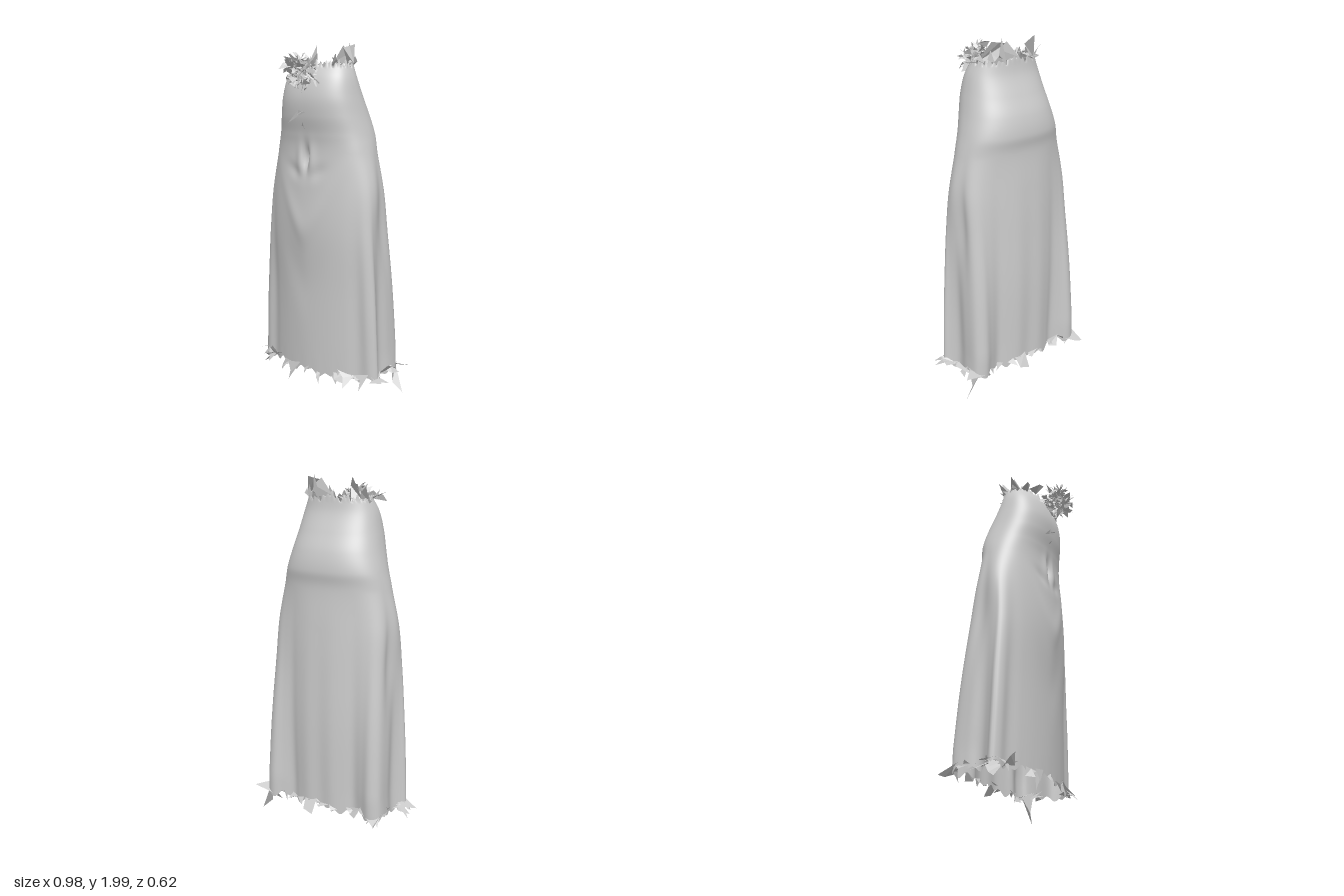
import * as THREE from 'three';

const V = (x, y, z) => new THREE.Vector3(x, y, z);
const smooth = THREE.MathUtils.smoothstep;
const bell = (x, s) => Math.exp(-(x * x) / (2 * s * s));

// Small seeded generator, values in -1..1
let seed = 7;
const rnd = () => {
  seed = (seed * 16807) % 2147483647;
  return (seed / 2147483647) * 2 - 1;
};

// Skirt silhouette from waist to hem: height, half width, back z, front z
const ROWS = [
  [1.88, 0.182, -0.11, 0.105], [1.8, 0.215, -0.125, 0.15], [1.7, 0.24, -0.165, 0.176],
  [1.6, 0.264, -0.205, 0.173], [1.5, 0.292, -0.222, 0.154], [1.4, 0.32, -0.213, 0.147],
  [1.2, 0.368, -0.225, 0.163], [0.95, 0.383, -0.237, 0.172], [0.6, 0.4, -0.245, 0.153],
  [0.14, 0.42, -0.237, 0.138],
];
const spline = pts => new THREE.CatmullRomCurve3(pts, false, 'catmullrom');
const heights = spline(ROWS.map(r => V(r[0], 0, 0)));
const sizes = spline(ROWS.map(r => V(r[1], r[2], r[3])));

// Draped cross-section, centre back round the left side to centre front
const HALF = [
  [0, -0.228], [0.08, -0.235], [0.15, -0.215], [0.2, -0.195], [0.26, -0.215], [0.32, -0.24],
  [0.37, -0.215], [0.38, -0.13], [0.368, -0.05], [0.395, 0], [0.42, 0.035], [0.385, 0.065],
  [0.32, 0.07], [0.25, 0.1], [0.14, 0.13], [0, 0.145],
];
const AROUND = 176, DOWN = 110;
const loop = [...HALF, ...HALF.slice(1, -1).reverse().map(([x, z]) => [-x, z])];
const drape = new THREE.CatmullRomCurve3(loop.map(([x, z]) => V(x, 0, z)), true)
  .getSpacedPoints(AROUND);

// Point on the skirt: j steps around, t from waist (0) to hem (1)
function skirtPoint(j, t) {
  j = ((Math.round(j) % AROUND) + AROUND) % AROUND;
  let y = heights.getPoint(t).x;
  const { x: hw, y: zb, z: zf } = sizes.getPoint(t);
  const a = (j / AROUND) * Math.PI * 2;
  const power = 1.03 - 0.17 * smooth(y, 1.2, 1.5);
  const pow = v => Math.sign(v) * Math.abs(v) ** power;
  // Body section, rounder over the thighs than over the hips
  const bx = hw * pow(Math.sin(a));
  const bz = (zb + zf) / 2 - ((zf - zb) / 2) * pow(Math.cos(a));
  // Draped section, scaled to this height; folds open gradually, sooner at the front
  const d = drape[j];
  const dx = (d.x / 0.42) * hw;
  const dz = zb + ((d.z + 0.235) / 0.38) * (zf - zb);
  const rear = THREE.MathUtils.clamp((1.4 - y) / 1.15, 0, 1);
  const fore = 1 - smooth(y, 0.4, 1.4);
  const k = rear + (fore - rear) * smooth(d.z, -0.12, 0.03);
  let x = bx + (dx - bx) * k;
  let z = bz + (dz - bz) * k;
  if (d.z > 0.05) {
    // Centre pinch, short pulls beside it and rounded hanging swags
    z -= 0.03 * bell(x, 0.013) * bell(y - 1.37, 0.045);
    z += 0.01 * bell(Math.abs(x) - 0.04, 0.02) * bell(y - 1.36, 0.06);
    z -= 0.008 * bell(Math.abs(x) - 0.08, 0.04) * bell(y - 1.26 - Math.abs(x) * 0.4, 0.025);
    const sag = y - 0.88 - Math.hypot(x, 0.05) * 1.8;
    z += (0.009 * bell(sag, 0.06) - 0.008 * bell(sag + 0.3, 0.12)) * bell(x, 0.12);
  } else if (Math.abs(d.x) > 0.3) {
    // Hollow down each side, behind the rear fold
    x -= Math.sign(x) * 0.022 * bell(d.z + 0.12, 0.04) * bell(y - 1.02, 0.2);
  }
  // Ragged ends
  y += 0.012 * smooth(t, 0.97, 1) * (Math.sin(j * 0.9) + Math.sin(j * 0.37));
  y += 0.012 * smooth(0.04 - t, 0, 0.04) * (Math.sin(j * 0.55) + Math.sin(j * 1.3));
  return V(x, y, z);
}

function makeSkirt() {
  const pos = [], idx = [];
  for (let i = 0; i <= DOWN; i++) {
    for (let j = 0; j < AROUND; j++) {
      pos.push(...skirtPoint(j, i / DOWN).toArray());
      if (i === DOWN) continue;
      const a = i * AROUND + j, b = i * AROUND + ((j + 1) % AROUND);
      idx.push(a, b, a + AROUND, b, b + AROUND, a + AROUND);
    }
  }
  const g = new THREE.BufferGeometry();
  g.setAttribute('position', new THREE.Float32BufferAttribute(pos, 3));
  g.setIndex(idx);
  g.computeVertexNormals();
  return g;
}

// One torn scrap: a folded leaf between two base points and a tip
function scrap(out, a, b, tip, bend = 0.25) {
  const size = tip.distanceTo(a) * bend;
  const side = b.clone().lerp(tip, 0.45).add(V(rnd() * size, rnd() * size, rnd() * size));
  for (const p of [a, b, side, a, side, tip]) out.push(p.x, p.y, p.z);
}

// Scraps along an edge of the skirt; dir is +1 upwards, -1 downwards
function edgeScraps(out, t, count, dir, reach, width) {
  for (let n = 0; n < count; n++) {
    const j = (n / count) * AROUND + rnd() * 2;
    const a = skirtPoint(j, t), b = skirtPoint(j + width + rnd() * 2, t);
    const away = V(a.x, 0, a.z * 1.4).normalize();
    const tip = a.clone().lerp(b, 0.5 + rnd())
      .addScaledVector(away, reach * (0.1 + rnd() * 0.7));
    tip.y += dir * reach * (0.25 + rnd() * 0.6);
    scrap(out, a, b, tip, 0.45);
  }
}

// A large scrap from the nearest edge point to a chosen tip
function bigScrap(out, t, tip, width) {
  let best = 0, near = Infinity;
  for (let j = 0; j < AROUND; j++) {
    const d = skirtPoint(j, t).distanceTo(tip);
    if (d < near) { near = d; best = j; }
  }
  scrap(out, skirtPoint(best - width, t), skirtPoint(best + width, t), tip);
}

export function createModel() {
  const group = new THREE.Group();
  const add = (name, geometry, flatShading) => {
    const mesh = new THREE.Mesh(geometry, new THREE.MeshStandardMaterial({
      color: 0xcccccc, side: THREE.DoubleSide, flatShading,
    }));
    mesh.name = name;
    group.add(mesh);
  };
  const addScraps = (name, out) => {
    const g = new THREE.BufferGeometry();
    g.setAttribute('position', new THREE.Float32BufferAttribute(out, 3));
    g.computeVertexNormals();
    add(name, g, true);
  };

  add('skirt', makeSkirt(), false);

  // Torn waist edge with its taller tabs
  const waist = [];
  edgeScraps(waist, 0.005, 18, 1, 0.06, 6);
  for (const [x, y, z, w] of [
    [-0.13, 1.99, -0.1, 7], [0.06, 1.98, -0.1, 8], [0.03, 1.94, -0.07, 6], [0.1, 2, -0.11, 7],
    [-0.26, 1.91, 0.04, 7], [-0.2, 1.94, -0.08, 7], [0.23, 1.87, 0.03, 6], [-0.21, 1.85, 0.14, 5],
    [-0.13, 1.87, 0.19, 5], [0.13, 1.88, 0.03, 6],
  ]) bigScrap(waist, 0.005, V(x, y, z), w);
  // Wide upright tab at the back left
  scrap(waist, V(0.09, 1.88, -0.1), V(0.19, 1.88, -0.03), V(0.06, 1.97, -0.1), 0.05);
  scrap(waist, V(0.19, 1.88, -0.03), V(0.06, 1.97, -0.1), V(0.15, 1.985, -0.09), 0.05);
  addScraps('waistTrim', waist);

  // Torn hem with its longer points
  const hem = [];
  edgeScraps(hem, 0.995, 42, -1, 0.07, 4);
  for (const [x, y, z, w] of [
    [0.43, 0.01, -0.2, 3], [0.49, 0.15, 0.02, 4], [-0.49, 0.14, 0.02, 4], [-0.43, 0.07, 0.06, 6],
    [-0.38, 0.13, -0.3, 5], [0.455, 0.17, -0.24, 5], [-0.15, 0.05, 0.14, 4], [0.36, 0.1, 0.13, 4],
    [-0.47, 0.1, -0.05, 6], [0.44, 0.19, -0.11, 6], [0.03, 0.1, -0.28, 3], [-0.31, 0.21, 0.11, 3],
    [0.27, 0.1, 0.16, 4], [0.2, 0.1, 0.13, 4], [-0.35, 0.1, 0.1, 4],
  ]) bigScrap(hem, 0.995, V(x, y, z), w);
  addScraps('hemTrim', hem);

  // Ruffled rosette at the front of the waist
  const rosette = [];
  const heart = V(0.015, 1.835, 0.2);
  for (let n = 0; n < 230; n++) {
    const dir = V(rnd(), rnd(), rnd()).normalize();
    const at = heart.clone().addScaledVector(dir, 0.025 + 0.045 * Math.abs(rnd()));
    const jitter = s => at.clone().add(V(rnd() * s, rnd() * s, rnd() * s));
    const tip = jitter(0.03).addScaledVector(dir, 0.015 + 0.02 * Math.abs(rnd()));
    scrap(rosette, jitter(0.022), jitter(0.022), tip, 0.5);
  }
  addScraps('rosette', rosette);

  // Loose petals below the rosette
  const petals = [];
  scrap(petals, V(-0.03, 1.63, 0.178), V(0.02, 1.62, 0.178), V(-0.1, 1.56, 0.182), 0.1);
  scrap(petals, V(-0.06, 1.6, 0.172), V(0.01, 1.63, 0.176), V(-0.03, 1.6, 0.21), 0.1);
  scrap(petals, V(-0.03, 1.52, 0.15), V(0, 1.53, 0.16), V(-0.005, 1.57, 0.175), 0.1);
  addScraps('loosePetals', petals);
  return group;
}
